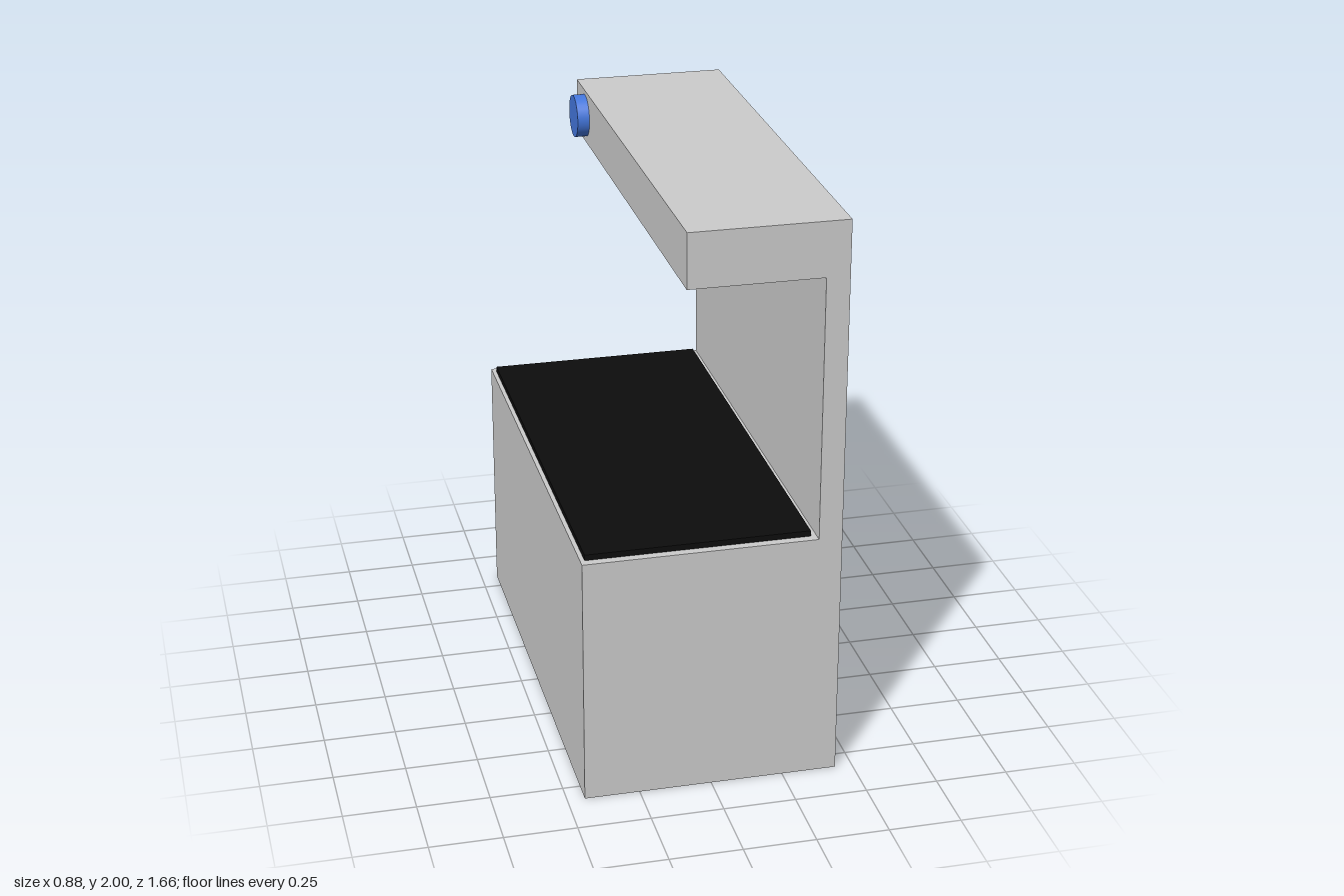
import * as THREE from 'three';

const grey = new THREE.MeshStandardMaterial({ color: 0xcccccc });
const black = new THREE.MeshStandardMaterial({ color: 0x0d0d0d });
const blue = new THREE.MeshStandardMaterial({ color: 0x4477dd });

const HALF = 0.83;      // half depth along z
const HOOD = 1.81;      // underside of the hood
const RECESS = 1.86;    // ceiling of the hood's recess
const BACK = 0.36;      // inner face of the back panel
const LIP = -0.095;     // open edge of the hood

function part(group, name, geometry, material) {
  const mesh = new THREE.Mesh(geometry, material);
  mesh.name = name;
  group.add(mesh);
  return mesh;
}

const points = (list) => list.map(([x, y]) => new THREE.Vector2(x, y));

export function createModel() {
  const group = new THREE.Group();
  group.name = 'counterWithHood';

  // C-shaped body: base block, back panel and upper hood
  const profile = new THREE.Shape(points([
    [-0.44, 0], [0.44, 0], [0.44, 2], [LIP, 2],
    [LIP, RECESS], [BACK, RECESS], [BACK, 0.885], [-0.44, 0.885],
  ]));
  const bodyGeometry = new THREE.ExtrudeGeometry(profile, { depth: 2 * HALF, bevelEnabled: false });
  bodyGeometry.translate(0, 0, -HALF);
  part(group, 'body', bodyGeometry, grey);

  // Rim around the shallow recess under the hood
  const rim = new THREE.Shape(points([[LIP, -HALF], [BACK, -HALF], [BACK, HALF], [LIP, HALF]]));
  const t = 0.02, z = HALF - 0.03;
  rim.holes.push(new THREE.Path(points([
    [LIP + t, -z], [LIP + t, z], [BACK - t, z], [BACK - t, -z],
  ])));
  const rimGeometry = new THREE.ExtrudeGeometry(rim, { depth: RECESS - HOOD, bevelEnabled: false });
  rimGeometry.rotateX(Math.PI / 2);
  rimGeometry.translate(0, RECESS, 0);
  part(group, 'hoodRim', rimGeometry, grey);

  // Dark work surface
  const top = part(group, 'workSurface', new THREE.BoxGeometry(0.765, 0.025, 1.6), black);
  top.position.set(-0.0425, 0.8925, 0);

  // Round knob passing through the hood's edge
  const knobGeometry = new THREE.CylinderGeometry(0.076, 0.076, 0.08, 32);
  knobGeometry.rotateZ(Math.PI / 2);
  const knob = part(group, 'knob', knobGeometry, blue);
  knob.position.set(-0.098, 1.908, -0.688);

  return group;
}
